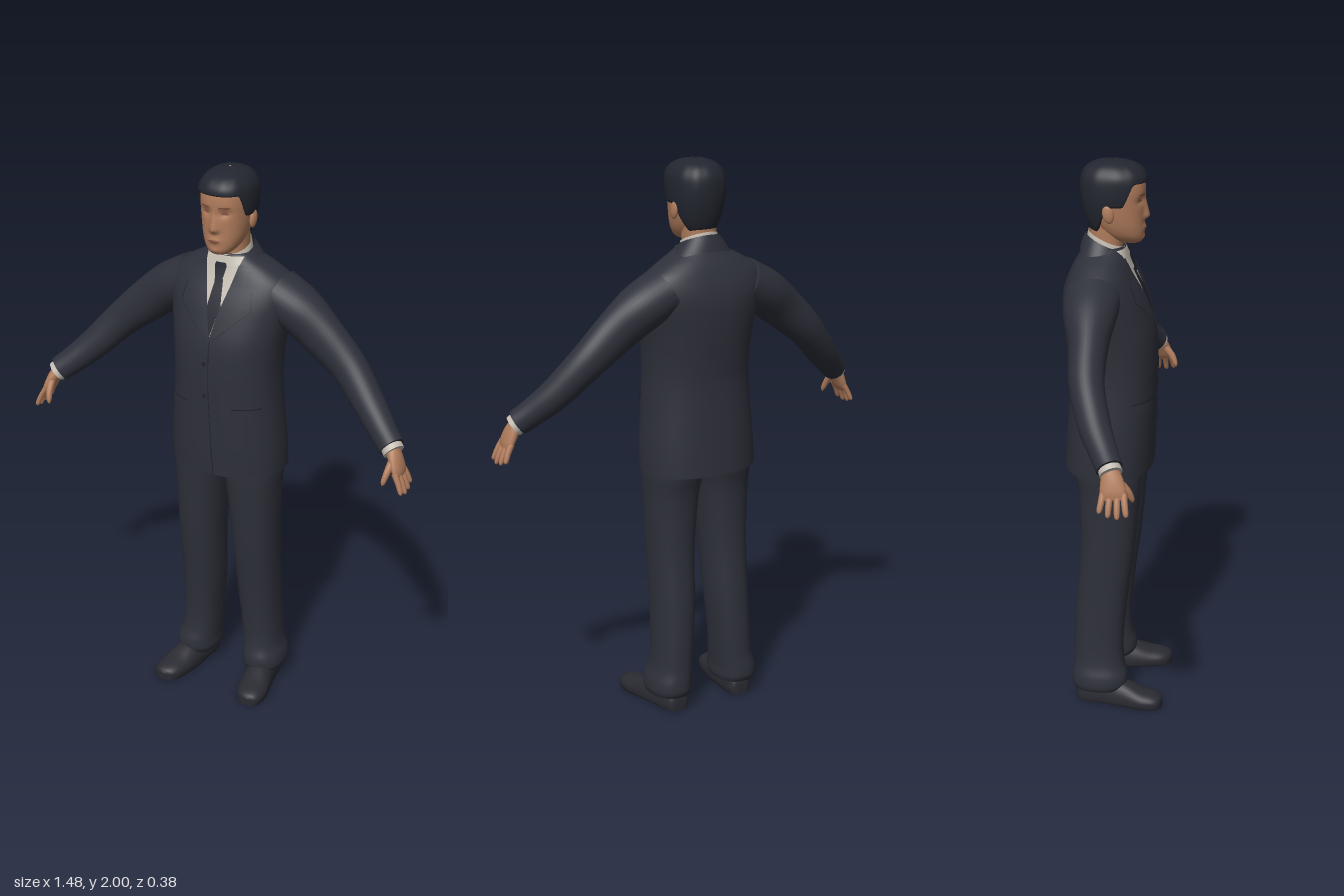
import * as THREE from 'three';

const N = 2.3; // roundness of the cross-sections
const mat = (name, color) => Object.assign(new THREE.MeshStandardMaterial({ color }), { name });
const pw = (c, n = N) => Math.sign(c) * Math.pow(Math.abs(c), 2 / n);
const lerp = THREE.MathUtils.lerp, step = THREE.MathUtils.smoothstep;

// Smoothly resample a short list of rows, k steps per interval
function sample(rows, k = 6) {
  const out = [], last = rows.length - 1;
  for (let i = 0; i < last; i++) {
    const [a, b, c, d] = [i - 1, i, i + 1, i + 2].map(j => rows[Math.min(last, Math.max(0, j))]);
    for (let s = 0; s < k; s++) {
      const t = s / k;
      out.push(b.map((_, m) => 0.5 * (2 * b[m] + (c[m] - a[m]) * t + (2 * a[m] - 5 * b[m] + 4 * c[m] - d[m]) * t * t
        + (3 * b[m] - a[m] - 3 * c[m] + d[m]) * t * t * t)));
    }
  }
  out.push(rows[last]);
  return out;
}

// Surface from fn(u index, v index); closed joins the u ends, cap closes both v ends
function grid(nu, nv, fn, { closed = true, cap = closed } = {}) {
  const pos = [], idx = [], w = closed ? nu : nu + 1;
  for (let v = 0; v <= nv; v++) for (let u = 0; u < w; u++) pos.push(...fn(u, v));
  for (let v = 0; v < nv; v++) for (let u = 0; u < nu; u++) {
    const a = v * w + u, b = v * w + (u + 1) % w, c = a + w, d = b + w;
    idx.push(a, c, b, b, c, d);
  }
  if (cap) for (const v of [0, nv]) {
    const s = pos.length / 3, mid = [0, 0, 0];
    for (let u = 0; u < w; u++) {
      const p = fn(u, v);
      pos.push(...p);
      p.forEach((q, m) => { mid[m] += q / w; });
    }
    pos.push(...mid);
    for (let u = 0; u < w; u++) {
      const n = (u + 1) % w;
      if (v) idx.push(s + u, s + w, s + n); else idx.push(s + u, s + n, s + w);
    }
  }
  const g = new THREE.BufferGeometry();
  g.setAttribute('position', new THREE.Float32BufferAttribute(pos, 3));
  g.setIndex(idx);
  g.computeVertexNormals();
  return g;
}

// Point on a level ring; row = [y, x0, x1, zBack, zFront]
const onRing = ([y, x0, x1, zb, zf], a) =>
  [(x0 + x1) / 2 + (x1 - x0) / 2 * pw(Math.cos(a)), y, (zb + zf) / 2 + (zf - zb) / 2 * pw(Math.sin(a))];

function stack(rows, seg = 40, bend = p => p, k = 6) {
  const r = sample(rows, k);
  return grid(seg, r.length - 1, (u, v) => bend(onRing(r[v], u / seg * Math.PI * 2)));
}

// Limb along a path; row = [x, y, z, thickness, width towards z]
function limb(rows, seg = 24, k = 6) {
  const r = sample(rows, k), V = p => new THREE.Vector3(p[0], p[1], p[2]);
  return grid(seg, r.length - 1, (u, v) => {
    const t = V(r[Math.min(v + 1, r.length - 1)]).sub(V(r[Math.max(v - 1, 0)])).normalize();
    const f = new THREE.Vector3(0, 0, 1).addScaledVector(t, -t.z).normalize();
    const s = t.clone().cross(f), a = u / seg * Math.PI * 2;
    return V(r[v]).addScaledVector(s, Math.cos(a) * r[v][3]).addScaledVector(f, Math.sin(a) * r[v][4]).toArray();
  });
}

function mirrorX(g) {
  const m = g.clone(), p = m.attributes.position, i = m.index.array;
  for (let k = 0; k < p.count; k++) p.setX(k, -p.getX(k));
  for (let k = 0; k < i.length; k += 3) [i[k], i[k + 1]] = [i[k + 1], i[k]];
  m.computeVertexNormals();
  return m;
}

// Front depth of a stacked body at (x, y)
function frontOf(rows, bend = p => p) {
  const r = sample(rows);
  return (x, y) => {
    let i = r.findIndex(q => q[0] > y);
    if (i < 1) i = r.length - 1;
    const q = r[i - 1].map((b, m) => lerp(b, r[i][m], Math.min(1, (y - r[i - 1][0]) / (r[i][0] - r[i - 1][0]))));
    const e = Math.max(0, 1 - Math.pow(Math.min(1, Math.abs(x) / q[2]), N));
    return bend([x, y, (q[3] + q[4]) / 2 + (q[4] - q[3]) / 2 * Math.pow(e, 1 / N)])[2];
  };
}

// Thin plate lying on a front surface; rows [y, xMin, xMax] from the bottom up
function plate(front, rows, off, k = 6, nu = 10) {
  return grid(nu, (rows.length - 1) * k, (u, v) => {
    const i = Math.min(rows.length - 2, Math.floor(v / k)), t = v / k - i;
    const [y, a, b] = rows[i].map((q, m) => lerp(q, rows[i + 1][m], t));
    const x = lerp(b, a, u / nu);
    return [x, y, front(x, y) + off];
  }, { closed: false });
}

const TORSO = [[0.9, 0.213, 0.135, -0.18], [1.0, 0.211, 0.14, -0.175], [1.2, 0.196, 0.145, -0.165], [1.3, 0.195, 0.146, -0.17],
  [1.4, 0.204, 0.138, -0.18], [1.5, 0.222, 0.108, -0.185], [1.56, 0.232, 0.083, -0.178], [1.61, 0.22, 0.058, -0.16],
  [1.65, 0.165, 0.042, -0.14], [1.685, 0.1, 0.032, -0.115], [1.7, 0.08, 0.026, -0.105]];
const HEAD = [[1.712, 0.02, 0.075, 0.03], [1.72, 0.038, 0.088, 0], [1.74, 0.057, 0.095, -0.04], [1.77, 0.071, 0.096, -0.07],
  [1.81, 0.08, 0.096, -0.095], [1.86, 0.086, 0.097, -0.11], [1.9, 0.088, 0.1, -0.115], [1.94, 0.085, 0.092, -0.112],
  [1.975, 0.062, 0.058, -0.088], [1.988, 0.03, 0.01, -0.05]];
const HAIR = [[1.75, 0.06, 0.05, -0.088], [1.8, 0.083, 0.09, -0.108], [1.86, 0.094, 0.1, -0.122], [1.91, 0.097, 0.107, -0.126],
  [1.95, 0.092, 0.104, -0.12], [1.98, 0.07, 0.076, -0.098], [1.995, 0.04, 0.03, -0.062], [2.0, 0.004, -0.01, -0.022]];
const both = rows => rows.map(([y, rx, zf, zb]) => [y, -rx, rx, zb, zf]);

// Nose, eye sockets, lips and chin pushed out of the face
function face([x, y, z]) {
  if (z < 0.03) return [x, y, z];
  const g = (d, s) => Math.exp(-(d * d) / (s * s));
  const nose = y > 1.805 ? Math.max(0, (1.885 - y) / 0.08) : Math.max(0, 1 - (1.805 - y) / 0.014);
  return [x, y, z + 0.021 * nose * g(x, 0.009 + 0.006 * nose) - 0.01 * g(Math.abs(x) - 0.034, 0.019) * g(y - 1.866, 0.013)
    + 0.006 * g(x, 0.022) * g(y - 1.767, 0.011) + 0.004 * g(x, 0.02) * g(y - 1.732, 0.01)];
}

export function createModel() {
  const root = new THREE.Group();
  root.name = 'manInSuit';
  const suit = mat('suit', 0x2e303a), shirt = mat('shirt', 0xc2bbb0), tie = mat('tie', 0x22242e), skin = mat('skin', 0xb07c5c),
    hair = mat('hair', 0x23262f), shoe = mat('shoe', 0x2a2a32), seam = mat('seam', 0x1f2028), feature = mat('feature', 0x875442);
  suit.side = shirt.side = hair.side = THREE.DoubleSide;
  const add = (name, geo, m) => {
    const mesh = new THREE.Mesh(geo, m);
    mesh.name = name;
    root.add(mesh);
  };
  const pair = (name, geo, m) => {
    add(name + 'Left', geo, m);
    add(name + 'Right', mirrorX(geo), m);
  };

  // Jacket body and its flat details
  const torso = both(TORSO), chest = frontOf(torso);
  add('jacket', stack(torso, 56), suit);
  add('shirtFront', plate(chest, [[1.43, -0.001, 0.001], [1.695, -0.07, 0.07]], 0.004, 16), shirt);
  add('tie', plate(chest, [[1.435, -0.001, 0.001], [1.53, -0.026, 0.026], [1.62, -0.014, 0.014]], 0.007), tie);
  add('tieKnot', plate(chest, [[1.612, -0.013, 0.013], [1.665, -0.023, 0.023], [1.675, -0.018, 0.018]], 0.014), tie);
  pair('lapel', plate(chest, [[1.42, 0, 0.012], [1.53, 0.026, 0.132], [1.59, 0.043, 0.122], [1.6, 0.046, 0.1], [1.67, 0.063, 0.098]], 0.009), suit);
  pair('lapelEdge', plate(chest, [[1.42, 0.012, 0.015], [1.53, 0.132, 0.136], [1.59, 0.122, 0.126]], 0.008, 6, 2), seam);
  add('frontSeam', plate(chest, [[0.902, 0.012, 0.016], [1.2, 0, 0.003], [1.42, 0, 0.003]], 0.003, 12, 2), seam);
  for (const y of [1.21, 1.33]) add('button', plate(chest, [[y - 0.008, -0.016, -0.012], [y, -0.022, -0.006], [y + 0.008, -0.016, -0.012]], 0.005, 2, 4), seam);
  pair('pocketFlap', plate(chest, [[1.135, 0.095, 0.172], [1.172, 0.09, 0.175]], 0.007), suit);
  pair('pocketSeam', plate(chest, [[1.172, 0.088, 0.177], [1.176, 0.088, 0.177]], 0.008, 2), seam);

  // Collars, raised at the back; the jacket collar is open in front
  const ringed = (rows, a0, a1) => grid(40, rows.length - 1, (u, v) => {
    const [y, rx, rz] = rows[v], a = lerp(a0, a1, u / 40), z = Math.sin(a) * rz;
    return [Math.cos(a) * rx, y - 0.45 * z, z - 0.035];
  }, { closed: false });
  add('jacketCollar', ringed([[1.65, 0.122, 0.092], [1.685, 0.098, 0.083], [1.715, 0.077, 0.071]], Math.PI * 0.72, Math.PI * 2.28), suit);
  add('shirtCollar', ringed([[1.655, 0.075, 0.074], [1.7, 0.07, 0.068], [1.727, 0.065, 0.063]], Math.PI * 0.5, Math.PI * 2.5), shirt);

  // Head, face and hair
  add('neck', stack([[1.63, -0.06, 0.06, -0.095, 0.025], [1.7, -0.058, 0.058, -0.093, 0.022], [1.79, -0.06, 0.06, -0.095, 0.03]], 28), skin);
  const head = both(HEAD), faceFront = frontOf(head, face);
  add('head', stack(head, 72, face), skin);
  pair('eye', plate(faceFront, [[1.86, 0.03, 0.04], [1.864, 0.02, 0.05], [1.869, 0.028, 0.044]], 0.002, 2), feature);
  pair('eyebrow', plate(faceFront, [[1.884, 0.016, 0.05], [1.89, 0.02, 0.056]], 0.002, 2), feature);
  add('mouth', plate(faceFront, [[1.76, -0.008, 0.008], [1.766, -0.024, 0.024], [1.772, -0.008, 0.008]], 0.002, 3), feature);
  const ear = new THREE.SphereGeometry(1, 16, 12).scale(0.011, 0.033, 0.02).rotateX(-0.2).translate(0.088, 1.828, -0.018);
  pair('ear', ear, skin);
  const hairRows = sample(both(HAIR), 8);
  add('hair', grid(72, 26, (u, v) => {
    const a = u / 72 * Math.PI * 2, f = Math.sin(a), t = Math.sin(Math.max(0, v - 1) / 25 * Math.PI / 2);
    const low = f > 0 ? lerp(1.85, 1.93, step(f, 0.3, 0.65)) : lerp(1.85, 1.757, step(-f, 0, 0.6));
    const y = lerp(low, 2, t), i = Math.max(1, hairRows.findIndex(q => q[0] >= y - 1e-6)), lo = hairRows[i - 1], hi = hairRows[i];
    const p = onRing(lo.map((q, m) => lerp(q, hi[m], (y - lo[0]) / (hi[0] - lo[0]))), a);
    const s = v === 0 ? 0.9 : 1 + 0.012 * Math.sin(a * 11) * t; // tucked rim, then combed ridges
    return [p[0] * s, y, (p[2] + 0.012) * s - 0.012];
  }, { cap: false }), hair);

  // Sleeves, cuffs and hands
  pair('sleeve', limb([[0.16, 1.56, -0.06, 0.085, 0.1], [0.25, 1.51, -0.058, 0.085, 0.09], [0.34, 1.44, -0.05, 0.079, 0.068],
    [0.45, 1.345, -0.04, 0.066, 0.06], [0.55, 1.24, 0.0, 0.057, 0.055], [0.62, 1.175, 0.04, 0.05, 0.048], [0.665, 1.138, 0.066, 0.047, 0.045]], 32), suit);
  pair('cuff', limb([[0.65, 1.15, 0.058, 0.038, 0.038], [0.677, 1.126, 0.073, 0.038, 0.039]], 24, 2), shirt);
  pair('palm', limb([[0.668, 1.135, 0.068, 0.024, 0.028], [0.685, 1.105, 0.076, 0.022, 0.038], [0.7, 1.07, 0.082, 0.018, 0.043], [0.708, 1.048, 0.085, 0.011, 0.038]]), skin);
  [[0.05, 0.8], [0.072, 0.95], [0.095, 1], [0.117, 0.9]].forEach(([z, len]) => {
    const dz = (z - 0.082) * 0.3;
    pair('finger', limb([[0.7, 1.068, z, 0.011, 0.012], [0.7 + 0.02 * len, 1.068 - 0.036 * len, z + dz * 0.5, 0.01, 0.011],
      [0.7 + 0.033 * len, 1.068 - 0.068 * len, z + dz, 0.008, 0.009], [0.7 + 0.036 * len, 1.068 - 0.077 * len, z + dz, 0.003, 0.003]], 10, 4), skin);
  });
  pair('thumb', limb([[0.682, 1.105, 0.095, 0.014, 0.014], [0.677, 1.07, 0.125, 0.012, 0.013], [0.671, 1.04, 0.14, 0.009, 0.009], [0.669, 1.027, 0.143, 0.003, 0.003]], 12, 4), skin);

  // Trousers with a loose hem
  pair('trouserLeg', stack([[0.055, 0.068, 0.21, -0.135, 0.045], [0.075, 0.062, 0.217, -0.145, 0.058], [0.11, 0.062, 0.214, -0.145, 0.058],
    [0.16, 0.058, 0.2, -0.14, 0.045], [0.25, 0.052, 0.193, -0.138, 0.042], [0.4, 0.04, 0.19, -0.13, 0.055], [0.6, 0.03, 0.192, -0.115, 0.08],
    [0.8, 0.012, 0.197, -0.12, 0.098], [0.9, -0.005, 0.2, -0.14, 0.105], [0.97, -0.01, 0.19, -0.14, 0.1]], 36), suit);

  // Shoes: [z, centre x, half width, height] from heel to toe
  const last = sample([[-0.125, 0.135, 0.02, 0.04], [-0.118, 0.135, 0.036, 0.065], [-0.09, 0.138, 0.045, 0.09], [-0.02, 0.145, 0.05, 0.1],
    [0.05, 0.155, 0.056, 0.085], [0.11, 0.167, 0.058, 0.062], [0.155, 0.173, 0.051, 0.052], [0.18, 0.176, 0.036, 0.042], [0.19, 0.177, 0.012, 0.03]]);
  pair('shoe', grid(32, last.length - 1, (u, v) => {
    const [z, cx, w, h] = last[v], a = -u / 32 * Math.PI * 2, s = Math.sin(a);
    return [cx + w * pw(Math.cos(a)), 0.022 + (s > 0 ? (h - 0.022) * s : 0.022 * Math.max(-1, s * 2.5)), z];
  }), shoe);
  return root;
}
